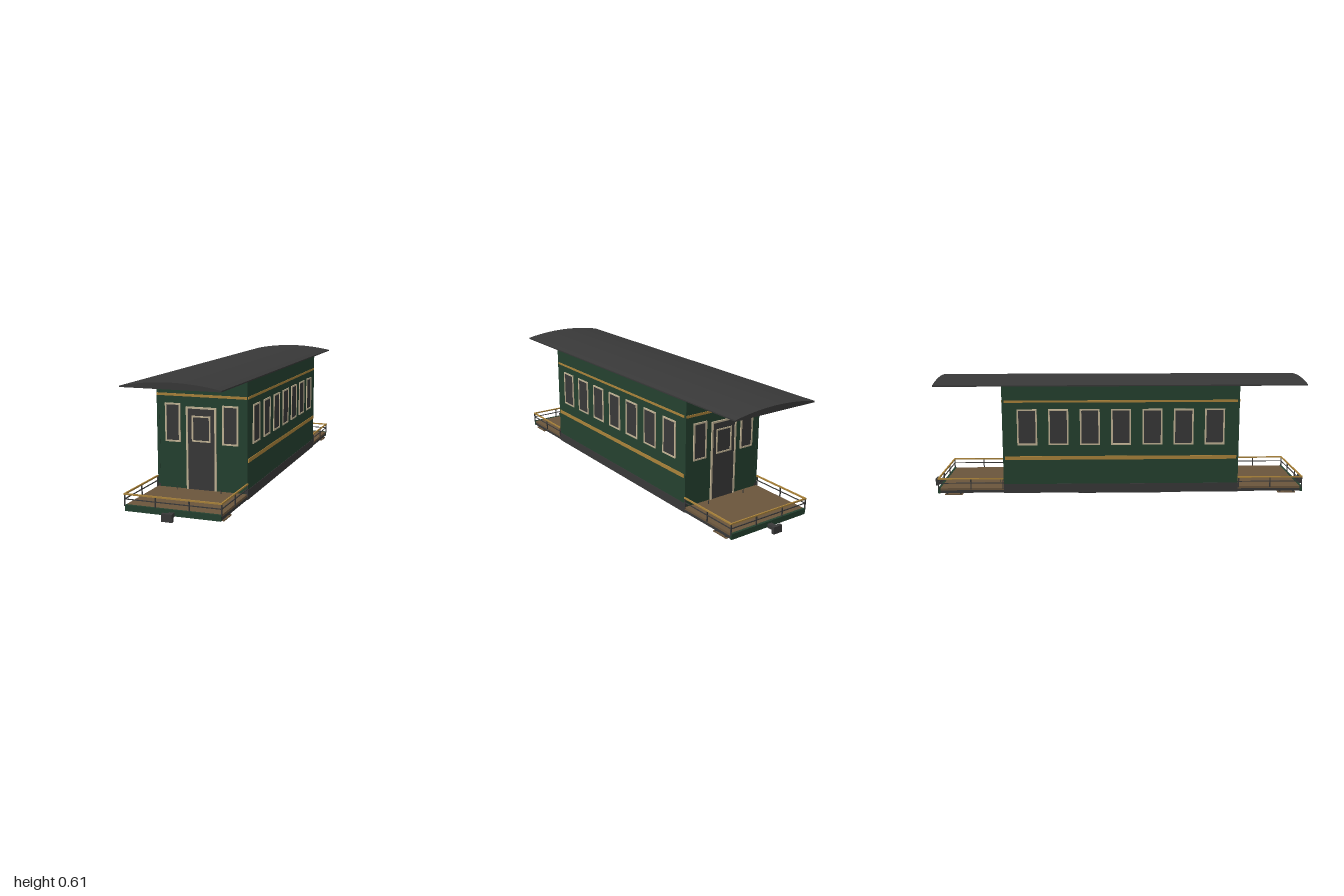
import * as THREE from 'three';

const mat = (name, color) => {
  const m = new THREE.MeshStandardMaterial({ color });
  m.name = name;
  return m;
};

export function createModel() {
  const green = mat('green paint', 0x24402f);
  const black = mat('charcoal', 0x383838);
  const cream = mat('cream trim', 0xc0b294);
  const gold = mat('gold trim', 0xa9823a);
  const wood = mat('deck wood', 0x6a553c);
  const steel = mat('wheel steel', 0x55565a);

  const model = new THREE.Group();
  model.name = 'railCoach';

  const add = (parent, name, geometry, material) => {
    const mesh = new THREE.Mesh(geometry, material);
    mesh.name = name;
    parent.add(mesh);
    return mesh;
  };
  // Box given by its lower and upper limits
  const box = (parent, name, material, x0, x1, y0, y1, z0, z1) => {
    const mesh = add(parent, name, new THREE.BoxGeometry(Math.abs(x1 - x0), y1 - y0, Math.abs(z1 - z0)), material);
    mesh.position.set((x0 + x1) / 2, (y0 + y1) / 2, (z0 + z1) / 2);
    return mesh;
  };
  // Round bar between two points
  const rod = (parent, name, material, a, b, r, sides = 8) => {
    const p = new THREE.Vector3(...a), d = new THREE.Vector3(...b).sub(p);
    const mesh = add(parent, name, new THREE.CylinderGeometry(r, r, d.length(), sides), material);
    mesh.position.copy(p).addScaledVector(d, 0.5);
    mesh.quaternion.setFromUnitVectors(new THREE.Vector3(0, 1, 0), d.normalize());
    return mesh;
  };
  // Rectangular frame facing +z, centred on x = 0
  const frame = (parent, name, w, y0, y1, t, z0, z1, bottom = true) => {
    for (const s of [-1, 1]) box(parent, name, cream, s * (w - t), s * w, y0, y1, z0, z1);
    box(parent, name, cream, -w + t, w - t, y1 - t, y1, z0, z1);
    if (bottom) box(parent, name, cream, -w + t, w - t, y0, y0 + t, z0, z1);
  };
  // Framed window that passes through a wall whose outer face is z = 0
  const makeWindow = (w) => {
    const g = new THREE.Group();
    g.name = 'window';
    frame(g, 'windowFrame', w, 0.28, 0.466, 0.008, -0.02, 0.005);
    box(g, 'windowPane', black, -w + 0.007, w - 0.007, 0.287, 0.459, -0.017, 0.002);
    return g;
  };

  const BX = 0.228, BZ = 0.606, DZ = 0.945;

  // Curved solid roof
  const roofShape = new THREE.Shape();
  roofShape.moveTo(-0.236, 0.583);
  roofShape.lineTo(0.236, 0.583);
  for (let i = 0; i <= 16; i++) {
    const x = 0.236 * (1 - i / 8);
    roofShape.lineTo(x, 0.589 + 0.024 * (1 - (x / 0.236) ** 2));
  }
  const roof = add(model, 'roof', new THREE.ExtrudeGeometry(roofShape, { depth: 1.9, bevelEnabled: false }), black);
  roof.position.z = -0.95;

  // Side walls, open underneath
  for (const s of [-1, 1]) {
    const side = new THREE.Group();
    side.name = s > 0 ? 'leftSide' : 'rightSide';
    side.rotation.y = s * Math.PI / 2;
    side.position.x = s * BX;
    box(side, 'sideWall', green, -BZ, BZ, 0.07, 0.584, -0.014, 0);
    box(side, 'sideSill', black, -BZ, BZ, 0.028, 0.075, -0.014, 0.002);
    box(side, 'lowerStripe', gold, -0.595, 0.595, 0.203, 0.222, 0, 0.003);
    box(side, 'upperStripe', gold, -0.595, 0.595, 0.5, 0.511, 0, 0.003);
    for (let i = -3; i <= 3; i++) {
      const win = makeWindow(0.051);
      win.position.x = i * 0.16;
      side.add(win);
    }
    model.add(side);
  }

  // One end: wall, door, platform, railing and running gear
  const makeEnd = () => {
    const end = new THREE.Group();
    box(end, 'endWall', green, -0.214, 0.214, 0.05, 0.584, BZ - 0.014, BZ - 0.001);
    box(end, 'endStripe', gold, -0.226, 0.226, 0.5, 0.512, BZ, BZ + 0.003);
    for (const s of [-1, 1]) {
      const win = makeWindow(0.039);
      win.position.set(s * 0.145, 0, BZ);
      end.add(win);
    }
    box(end, 'door', black, -0.067, 0.067, 0.055, 0.444, BZ - 0.016, BZ + 0.002);
    frame(end, 'doorFrame', 0.076, 0.055, 0.453, 0.009, BZ - 0.018, BZ + 0.006, false);
    frame(end, 'doorWindowFrame', 0.047, 0.287, 0.411, 0.007, BZ, BZ + 0.006);

    // Platform
    box(end, 'deck', wood, -BX, BX, 0.044, 0.055, BZ - 0.001, DZ - 0.012);
    box(end, 'endBeam', green, -BX, BX, 0.028, 0.056, DZ - 0.012, DZ);
    for (const s of [-1, 1]) {
      box(end, 'platformSill', black, s * 0.214, s * BX, 0.03, 0.044, BZ, DZ - 0.012);
      box(end, 'step', wood, s * 0.187, s * 0.23, 0.019, 0.024, 0.82, 0.91);
      for (const z of [0.83, 0.9]) box(end, 'stepHanger', black, s * 0.216, s * 0.226, 0.023, 0.032, z - 0.004, z + 0.004);
      rod(end, 'deckPin', black, [s * 0.11, 0.055, 0.64], [s * 0.11, 0.074, 0.64], 0.002);
    }

    // Railing
    const rx = 0.23, rz = DZ - 0.004;
    for (const [y, m, r] of [[0.105, gold, 0.0035], [0.082, black, 0.002]]) {
      box(end, 'endRail', m, -rx - r, rx + r, y - r, y + r, rz - r, rz + r);
      for (const s of [-1, 1]) box(end, 'sideRail', m, s * (rx - r), s * (rx + r), y - r, y + r, BZ, rz - r);
    }
    for (const s of [-1, 1]) {
      for (const [x, z] of [[rx, BZ + 0.004], [rx, 0.775], [rx, rz], [0.08, rz]])
        box(end, 'railPost', black, s * x - 0.0025, s * x + 0.0025, 0.05, 0.103, z - 0.0025, z + 0.0025);
    }

    // Coupler
    box(end, 'couplerShank', black, -0.012, 0.012, 0.026, 0.045, DZ - 0.03, 0.986);
    box(end, 'couplerHead', black, -0.025, 0.025, 0.017, 0.053, 0.984, 1);

    // Four-wheel truck
    const truck = new THREE.Group();
    truck.name = 'truck';
    for (const z of [0.42, 0.57]) {
      rod(truck, 'axle', steel, [-0.12, 0.037, z], [0.12, 0.037, z], 0.006);
      for (const s of [-1, 1]) {
        rod(truck, 'wheelTread', steel, [s * 0.09, 0.037, z], [s * 0.112, 0.037, z], 0.033, 24);
        rod(truck, 'wheelFlange', steel, [s * 0.082, 0.037, z], [s * 0.09, 0.037, z], 0.037, 24);
        rod(truck, 'wheelHub', black, [s * 0.112, 0.037, z], [s * 0.118, 0.037, z], 0.013, 16);
      }
    }
    for (const s of [-1, 1]) box(truck, 'truckSideFrame', black, s * 0.118, s * 0.128, 0.028, 0.044, 0.39, 0.6);
    box(truck, 'truckBolster', black, -0.13, 0.13, 0.028, 0.046, 0.48, 0.51);
    end.add(truck);
    return end;
  };
  for (const s of [1, -1]) {
    const end = makeEnd();
    end.name = s > 0 ? 'frontEnd' : 'backEnd';
    end.rotation.y = s > 0 ? 0 : Math.PI;
    model.add(end);
  }

  // Underframe
  const under = new THREE.Group();
  under.name = 'underframe';
  box(under, 'centreSill', black, -0.025, 0.025, 0.027, 0.043, -DZ + 0.012, DZ - 0.012);
  for (const z of [-0.2, 0.2]) box(under, 'crossBeam', black, -0.214, 0.214, 0.03, 0.042, z - 0.008, z + 0.008);
  for (const s of [-1, 1]) {
    for (const x of [0.155, 0.2]) {
      rod(under, 'trussRod', black, [s * x, 0.02, -0.2], [s * x, 0.02, 0.2], 0.0025);
      for (const e of [-1, 1]) {
        rod(under, 'trussRod', black, [s * x, 0.02, e * 0.2], [s * x, 0.036, e * 0.7], 0.0025);
        box(under, 'queenPost', black, s * x - 0.004, s * x + 0.004, 0.017, 0.036, e * 0.2 - 0.004, e * 0.2 + 0.004);
      }
    }
  }
  box(under, 'equipmentBox', black, -0.13, -0.058, 0.009, 0.032, 0, 0.175);
  rod(under, 'airTank', black, [0.11, 0.02, -0.055], [0.11, 0.02, -0.15], 0.018, 16);
  for (const z of [-0.08, 0.02, 0.15]) box(under, 'equipmentHanger', black, -0.16, 0.16, 0.03, 0.038, z - 0.005, z + 0.005);
  model.add(under);

  return model;
}
